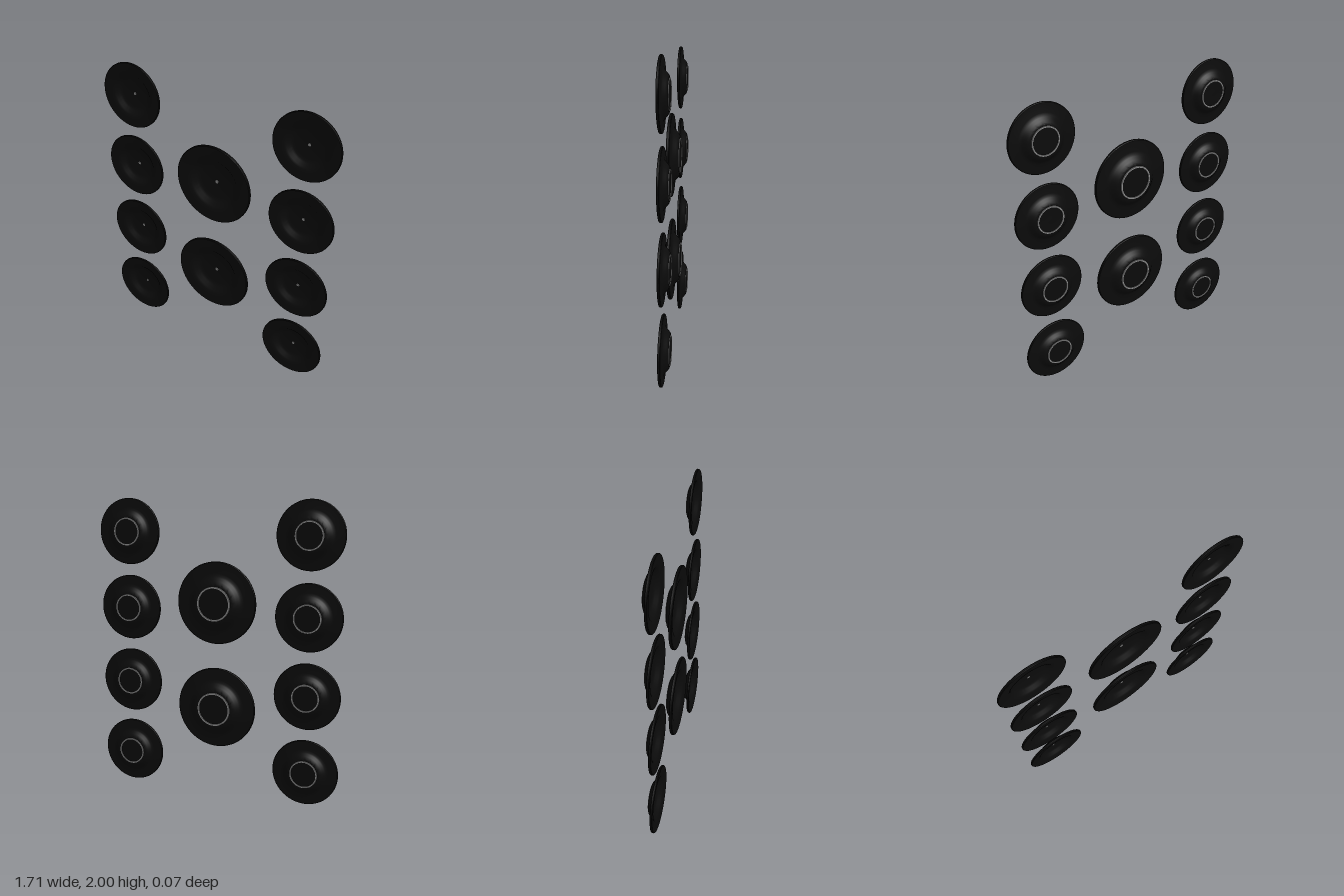
import * as THREE from 'three';
import { toCreasedNormals } from 'three/addons/utils/BufferGeometryUtils.js';

const glaze = new THREE.MeshStandardMaterial({ color: 0x0b0b0b });
const bareClay = new THREE.MeshStandardMaterial({ color: 0x8c8c8c });

// Turns a [radius, depth] profile around the z axis (depth grows towards the front)
function turned(profile, segments) {
  const points = profile.map(([r, z]) => new THREE.Vector2(r, z));
  const geometry = new THREE.LatheGeometry(points, segments).rotateX(Math.PI / 2);
  return toCreasedNormals(geometry, Math.PI / 5);
}

// Dish: back centre, bowl wall, rim, then the hollow front back to the centre
const dishGeometry = turned([
  [0, -0.026], [0.08, -0.027], [0.1, -0.027], [0.11, -0.024], [0.123, -0.014],
  [0.137, -0.001], [0.146, 0.005], [0.16, 0.008], [0.219, 0.011],
  [0.222, 0.014], [0.222, 0.024], [0.219, 0.027],
  [0.17, 0.022], [0.15, 0.019], [0.138, 0.012], [0.12, -0.004],
  [0.108, -0.011], [0.095, -0.014], [0, -0.015],
], 72);

// Foot ring on the back
const footGeometry = turned([
  [0.083, -0.025], [0.084, -0.031], [0.092, -0.031], [0.094, -0.025],
], 72);

// Small spot in the middle of the hollow
const spotGeometry = turned([
  [0.0105, -0.016], [0.0095, -0.0135], [0, -0.013],
], 24);

function makePlate(name, x, y, scale) {
  const plate = new THREE.Group();
  plate.name = name;
  const parts = [
    ['dish', dishGeometry, glaze],
    ['footRing', footGeometry, bareClay],
    ['centreSpot', spotGeometry, bareClay],
  ];
  for (const [partName, geometry, material] of parts) {
    const mesh = new THREE.Mesh(geometry, material);
    mesh.name = partName;
    plate.add(mesh);
  }
  plate.scale.setScalar(scale);
  plate.position.set(x, y, scale > 1 ? 0.002 : 0);
  return plate;
}

export function createModel() {
  const model = new THREE.Group();
  model.name = 'wallPlates';

  // Two side columns of four small plates
  for (const side of [-1, 1]) {
    for (let i = 0; i < 4; i++) {
      const name = `${side > 0 ? 'left' : 'right'}Plate${i + 1}`;
      model.add(makePlate(name, side * 0.631, 0.222 + i * 0.5187, 1));
    }
  }

  // Two larger plates in the middle
  [0.6, 1.319].forEach((y, i) => model.add(makePlate(`middlePlate${i + 1}`, 0, y, 1.24)));

  return model;
}
